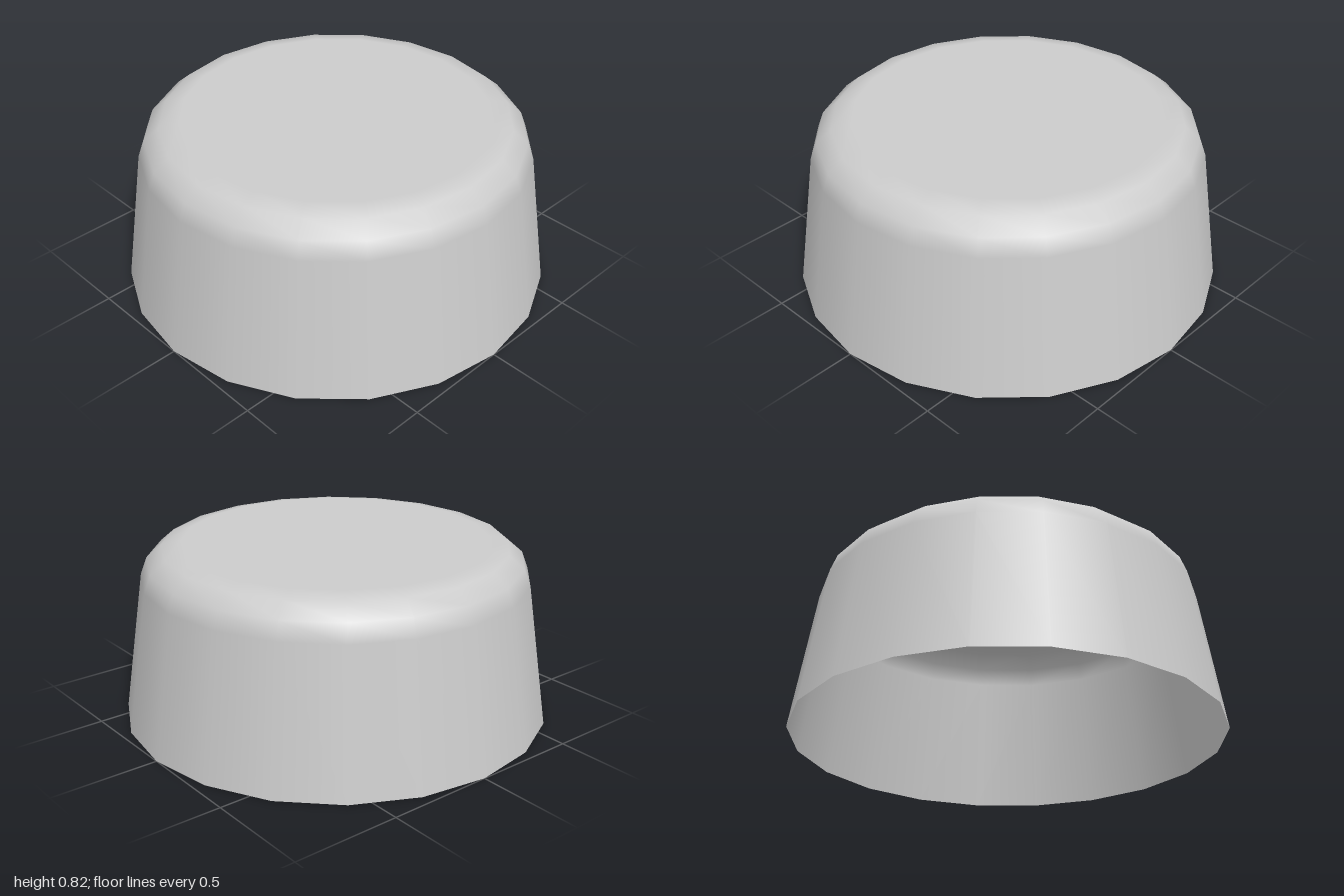
import * as THREE from 'three';

const SIDES = 20;

// Rings from the open rim to the centre of the top: radius, height, tilt of the normal in degrees
const RINGS = [
  [1.0, 0.0, 8.6],
  [0.9, 0.66, 8.6],
  [0.87, 0.74, 35],
  [0.8, 0.8, 63],
  [0.71, 0.82, 90],
  [0, 0.82, 90],
];

export function createModel() {
  const group = new THREE.Group();
  group.name = 'cap';

  const profile = RINGS.map(([r, y]) => new THREE.Vector2(r, y));
  const geometry = new THREE.LatheGeometry(profile, SIDES);

  // Straight wall and flat top, with the shading blended only across the bevel
  const normal = geometry.attributes.normal;
  for (let i = 0; i <= SIDES; i++) {
    const phi = (i / SIDES) * Math.PI * 2;
    RINGS.forEach(([, , tilt], j) => {
      const t = THREE.MathUtils.degToRad(tilt);
      normal.setXYZ(i * RINGS.length + j, Math.sin(phi) * Math.cos(t), Math.sin(t), Math.cos(phi) * Math.cos(t));
    });
  }

  // Thin shell, open underneath
  const shell = new THREE.Mesh(
    geometry,
    new THREE.MeshStandardMaterial({ color: 0xcccccc, side: THREE.DoubleSide })
  );
  shell.name = 'shell';
  group.add(shell);
  return group;
}
